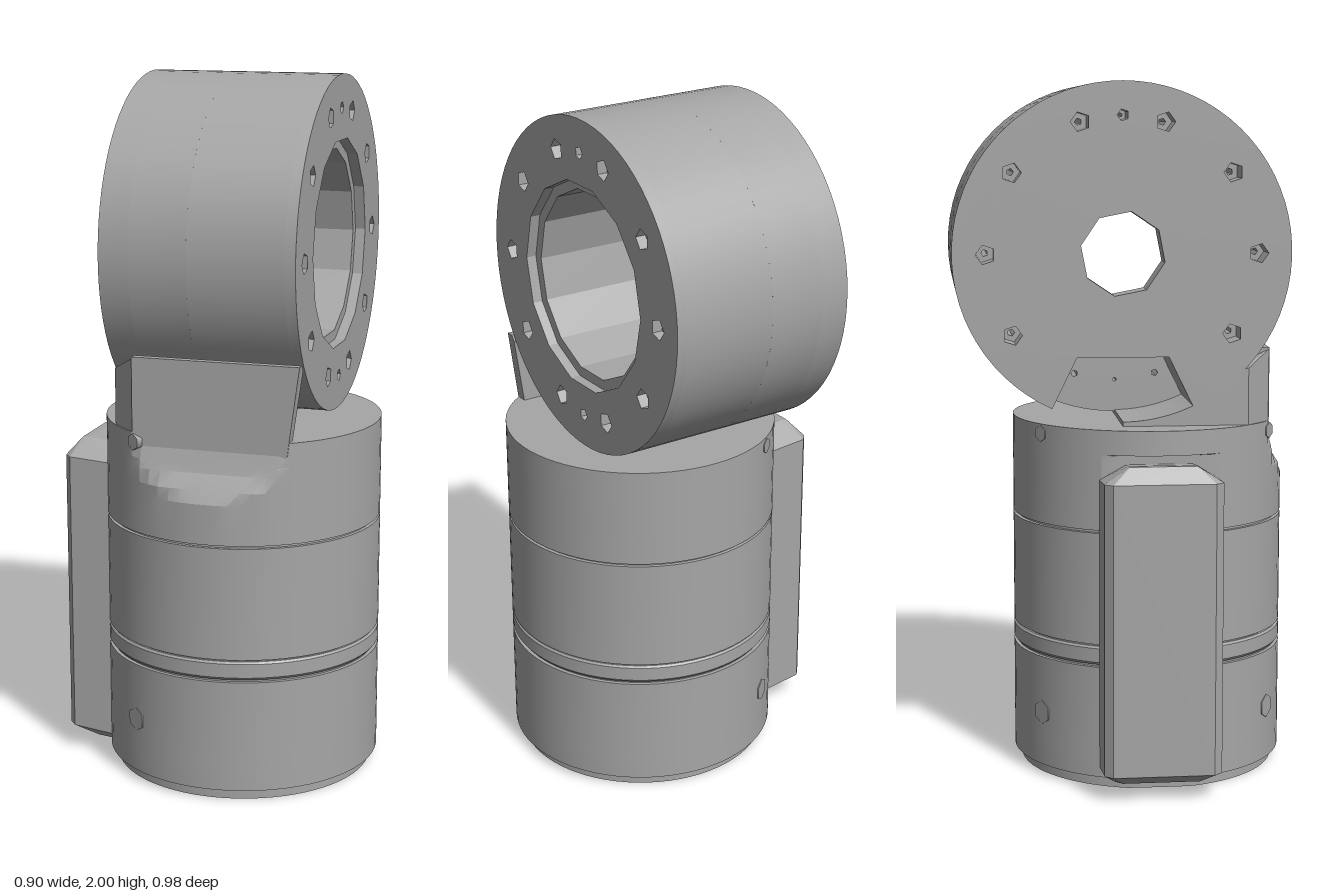
import * as THREE from 'three';
import { toCreasedNormals } from 'three/addons/utils/BufferGeometryUtils.js';
import { ConvexGeometry } from 'three/addons/geometries/ConvexGeometry.js';

const metal = new THREE.MeshStandardMaterial({ color: 0xa6a6a6 });
metal.name = 'machined grey';

const BODY = { x: 0.05, z: 0.092, r: 0.397 };   // upright cylinder
const RING = { y: 1.524, z: -0.009, r: 0.477 }; // cylinder lying along x

function add(group, name, geometry) {
  const mesh = new THREE.Mesh(geometry, metal);
  mesh.name = name;
  group.add(mesh);
  return mesh;
}

// Points of a circle, regular polygon or arc
function circle(r, n, cx = 0, cy = 0, start = 0, sweep = Math.PI * 2) {
  const count = sweep < Math.PI * 2 ? n + 1 : n;
  return Array.from({ length: count }, (_, i) => {
    const a = start + (sweep * i) / n;
    return new THREE.Vector2(cx + r * Math.cos(a), cy + r * Math.sin(a));
  });
}

function extrude(outline, holes, depth) {
  const shape = new THREE.Shape(outline);
  for (const h of holes) shape.holes.push(new THREE.Path(h));
  const geo = new THREE.ExtrudeGeometry(shape, { depth, bevelEnabled: false });
  return toCreasedNormals(geo, 0.3);
}

// Extrusion along +x from x0 to x1; shape axes are (-z, y)
function alongX(outline, holes, x0, x1) {
  return extrude(outline, holes, x1 - x0).rotateY(Math.PI / 2).translate(x0, 0, 0);
}

// Clipped round section of the body: flat at xMin and at zMax
function section(r, xMin, zMax, n = 72) {
  return circle(r, n, BODY.x, BODY.z).map(
    (p) => new THREE.Vector2(Math.max(p.x, xMin), Math.min(p.y, zMax)));
}

// Solid from stacked body sections, each [y, radius, xMin, zMax]
function loft(levels) {
  const n = 72, pos = [], idx = [];
  for (const [y, r, xMin = -9, zMax = 9] of levels)
    for (const p of section(r, xMin, zMax, n)) pos.push(p.x, y, p.y);
  const top = levels.length - 1;
  for (let l = 0; l < top; l++)
    for (let i = 0; i < n; i++) {
      const a = l * n + i, b = l * n + ((i + 1) % n);
      idx.push(a, a + n, b, b, a + n, b + n);
    }
  const low = pos.length / 3;
  pos.push(BODY.x, levels[0][0], BODY.z, BODY.x, levels[top][0], BODY.z);
  for (let i = 0; i < n; i++) {
    const j = (i + 1) % n;
    idx.push(low, i, j, low + 1, top * n + j, top * n + i);
  }
  const geo = new THREE.BufferGeometry();
  geo.setAttribute('position', new THREE.Float32BufferAttribute(pos, 3));
  geo.setIndex(idx);
  return toCreasedNormals(geo, 0.25);
}

// Ten bolt holes and two small pin holes
function boltHoles(size, skipLowest) {
  const holes = [];
  for (let i = 0; i < 10; i++) {
    if (skipLowest && (i === 4 || i === 5)) continue;
    const a = Math.PI / 2 + Math.PI / 10 + (i * Math.PI) / 5;
    holes.push(circle(size, 5, 0.383 * Math.cos(a), 0.383 * Math.sin(a), a));
  }
  holes.push(circle(size * 0.6, 5, 0, 0.383));
  if (!skipLowest) holes.push(circle(size * 0.6, 5, 0, -0.383));
  return holes;
}

function createRing() {
  const g = new THREE.Group();
  g.name = 'jointRing';
  const R = RING.r;
  // Outline with a trapezoid cable opening at the bottom
  const half = Math.asin(0.2 / R);
  const notched = circle(R, 64, 0, 0, -Math.PI / 2 + half, Math.PI * 2 - 2 * half);
  notched.push(new THREE.Vector2(-0.13, -0.29), new THREE.Vector2(0.13, -0.29));
  const bore = circle(0.27, 14);
  add(g, 'ringEndPlate', alongX(notched, [circle(0.12, 8, 0, 0, 0.2), ...boltHoles(0.028, true)], -0.25, -0.165));
  add(g, 'ringOpeningWall', alongX(notched, [bore, ...boltHoles(0.01, true)], -0.165, 0));
  add(g, 'ringBarrel', alongX(circle(R, 72), [bore, ...boltHoles(0.01)], 0, 0.275));
  add(g, 'ringFrontLip', alongX(circle(R, 72), [circle(0.3, 14), ...boltHoles(0.03)], 0.275, 0.305));
  g.position.set(0, RING.y, RING.z);
  return g;
}

function createBody() {
  const g = new THREE.Group();
  g.name = 'body';
  const { r } = BODY;
  const flat = -0.315;

  // Base plate and lower shell with the underside pocket
  const pocket = circle(0.175, 9, BODY.x, -BODY.z);
  const pocketed = (rad, y0, y1) =>
    extrude(section(rad, flat, 9).map((p) => new THREE.Vector2(p.x, -p.y)).reverse(), [pocket], y1 - y0)
      .rotateX(-Math.PI / 2).translate(0, y0, 0);
  add(g, 'basePlate', pocketed(0.375, 0, 0.035));
  add(g, 'lowerShell', pocketed(r, 0.033, 0.1));

  // Stacked segments with fine grooves between them
  add(g, 'lowerSegment', loft([[0.1, r, flat], [0.356, r, flat]]));
  add(g, 'core', loft([[0.2, 0.386, -0.305], [0.8, 0.386, -0.305]]));
  add(g, 'grooveRing', loft([[0.363, 0.392, flat], [0.37, r, flat], [0.41, r, flat], [0.416, 0.392, flat]]));
  add(g, 'middleSegment', loft([[0.422, r, flat], [0.744, r, flat]]));
  // Upper segment: the front is scooped back to a flat
  add(g, 'upperSegment', loft([
    [0.752, r, flat], [0.865, r, flat, 0.487], [0.9, r, flat, 0.468], [0.94, r, flat, 0.44],
    [0.965, r, flat, 0.431], [0.968, r, -9, 0.43], [1.0, r, -9, 0.42], [1.038, r, -9, 0.42]]));

  // Small screws set around the shell
  for (const [y, size] of [[0.19, 0.035], [1.01, 0.024]])
    for (const side of [1, -1]) {
      const screw = add(g, 'sideScrew', new THREE.CylinderGeometry(size, size, 0.02, 6).rotateX(Math.PI / 2));
      const a = Math.atan2(-0.56, 0.83 * side);
      screw.position.set(BODY.x + Math.sin(a) * 0.389, y, BODY.z + Math.cos(a) * 0.389);
      screw.rotation.y = a;
    }
  return g;
}

function createBracket() {
  const g = new THREE.Group();
  g.name = 'bracket';
  // Upright flange in front of the ring
  const flange = [[-0.42, 0.99], [-0.383, 0.99], [-0.383, 1.235], [-0.395, 1.25], [-0.42, 1.25]]
    .map((p) => new THREE.Vector2(...p));
  const geo = alongX(flange, [], -0.175, 0.305);
  const pos = geo.attributes.position;
  for (let i = 0; i < pos.count; i++) // narrower foot
    if (pos.getY(i) < 1 && pos.getX(i) > 0) pos.setX(i, 0.27);
  geo.computeVertexNormals();
  add(g, 'flange', geo);
  // Cradle under the ring, reaching out to its end plate
  const arc = circle(RING.r - 0.004, 12, -RING.z, RING.y, -Math.PI * 0.5, -Math.PI * 0.26);
  const cradle = [new THREE.Vector2(-0.35, 1.0), new THREE.Vector2(-RING.z, 1.0), ...arc];
  add(g, 'cradle', alongX(cradle, [], -0.25, 0.05));
  // Sloped wing joining the cradle to the flange
  const wing = [];
  for (const [x, z, top] of [[-0.25, 0.3, 1.19], [-0.25, 0.348, 1.2], [-0.175, 0.418, 1.245], [-0.1, 0.418, 1.245], [-0.1, 0.3, 1.19]])
    wing.push(new THREE.Vector3(x, 1.0, z), new THREE.Vector3(x, top, z));
  add(g, 'flangeWing', new ConvexGeometry(wing));
  return g;
}

// Chamfered cable cover on the right side
function createCableCover() {
  const pts = [];
  const levels = [ // y, outer x, half width at the outer face, half width at the shoulder
    [0.037, -0.385, 0.11, 0.13], [0.075, -0.45, 0.143, 0.166],
    [0.905, -0.45, 0.143, 0.166], [0.95, -0.415, 0.094, 0.094]];
  for (const [y, x, h, w] of levels)
    for (const s of [1, -1])
      pts.push(new THREE.Vector3(x, y, 0.087 + s * h), new THREE.Vector3(x + 0.02, y, 0.087 + s * w));
  for (const [y, w] of [[0.03, 0.13], [0.06, 0.169], [0.895, 0.169], [0.937, 0.094]])
    for (const s of [1, -1]) pts.push(new THREE.Vector3(-0.29, y, 0.087 + s * w));
  return new ConvexGeometry(pts);
}

export function createModel() {
  const model = new THREE.Group();
  model.name = 'robotJoint';
  model.add(createRing(), createBody(), createBracket());
  add(model, 'cableCover', createCableCover());
  return model;
}
